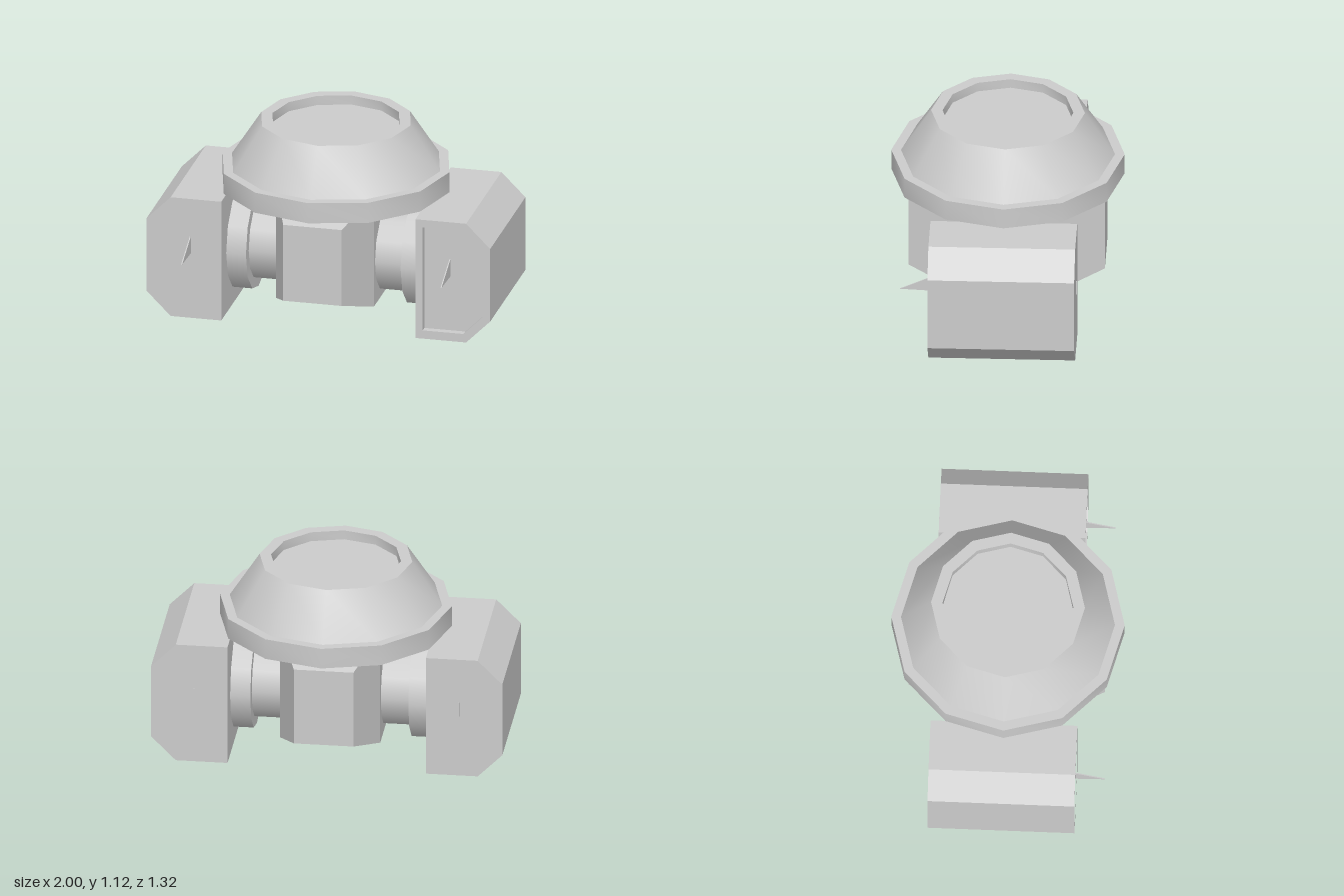
import * as THREE from 'three';
import { toCreasedNormals } from 'three/addons/utils/BufferGeometryUtils.js';
import { ConvexGeometry } from 'three/addons/geometries/ConvexGeometry.js';

const grey = new THREE.MeshStandardMaterial({ color: 0xcccccc });

function add(parent, name, geometry) {
  const mesh = new THREE.Mesh(geometry, grey);
  mesh.name = name;
  parent.add(mesh);
  return mesh;
}

// Outline of a pod with its two outer corners cut; s mirrors it
function podOutline(s, x0, x1, y0, y1, cut) {
  return [[x0, y0], [x1 - cut, y0], [x1, y0 + cut], [x1, y1 - cut], [x1 - cut, y1], [x0, y1]]
    .map(([x, y]) => new THREE.Vector2(s * x, y));
}

function extrude(shape, depth, z) {
  return new THREE.ExtrudeGeometry(shape, { depth, bevelEnabled: false }).translate(0, 0, z);
}

// Twelve-sided collar along x
function collar(parent, name, s, x0, x1, r) {
  const geometry = new THREE.CylinderGeometry(r, r, x1 - x0, 12).rotateZ(Math.PI / 2);
  add(parent, name, geometry).position.set(s * (x0 + x1) / 2, 0.365, 0);
}

function createSide(s) {
  const side = new THREE.Group();
  side.name = s > 0 ? 'leftPod' : 'rightPod';

  // Pod body, with a raised frame around the sunken front panel
  const outer = podOutline(s, 0.565, 1, 0, 0.72, 0.14);
  add(side, 'podBody', extrude(new THREE.Shape(outer), 0.79, -0.415));
  const frame = new THREE.Shape(outer);
  frame.holes.push(new THREE.Path(podOutline(s, 0.607, 0.955, 0.05, 0.675, 0.11)));
  add(side, 'podFrame', extrude(frame, 0.04, 0.375));

  // Thin blade running through the pod, pointed at the front
  const blade = new THREE.Shape([[-0.42, 0.37], [0.37, 0.375], [0.58, 0.385], [0.37, 0.48], [-0.42, 0.455]]
    .map(([z, y]) => new THREE.Vector2(-z, y)));
  const bladeGeometry = extrude(blade, 0.006, -0.003).rotateY(Math.PI / 2);
  add(side, 'blade', bladeGeometry).position.x = s * 0.755;

  // Stepped joint to the centre body
  collar(side, 'outerCollar', s, 0.45, 0.58, 0.3);
  collar(side, 'innerCollar', s, 0.27, 0.46, 0.235);
  return side;
}

export function createModel() {
  const model = new THREE.Group();
  model.name = 'model';

  // Centre block, tapered towards front and back
  const corners = [];
  for (const [z, w, h] of [[0.555, 0.17, 0.23], [0.26, 0.285, 0.335]]) {
    for (const sx of [-1, 1]) for (const sy of [-1, 1]) for (const sz of [-1, 1]) {
      corners.push(new THREE.Vector3(sx * w, 0.44 + sy * h, sz * z));
    }
  }
  add(model, 'centreBody', new ConvexGeometry(corners));

  // Flanged conical cap with a shallow well in its top
  const profile = [
    [0, 0.735], [0.66, 0.735], [0.66, 0.857], [0.605, 0.857],
    [0.435, 1.12], [0.37, 1.12], [0.37, 1.065], [0, 1.065],
  ].map(([r, y]) => new THREE.Vector2(r, y));
  add(model, 'cap', toCreasedNormals(new THREE.LatheGeometry(profile, 12), 0.6));

  model.add(createSide(1), createSide(-1));
  return model;
}
